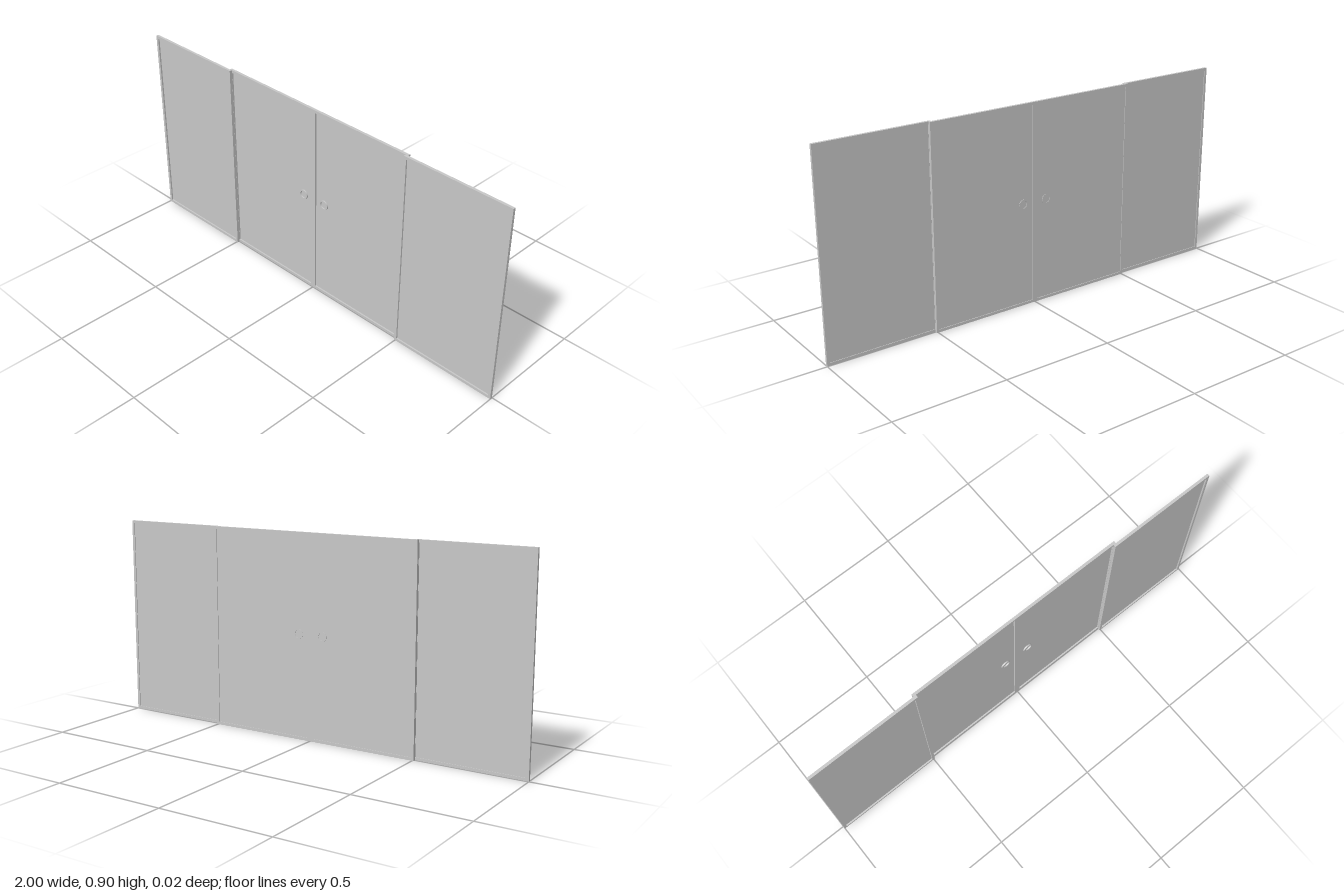
import * as THREE from 'three';

const H = 0.905, W = 0.506, D = 0.012, RAIL = 0.0125;

// Flat plate with a hole, extruded and centred on z = 0
function extrudeCentred(shape, depth) {
  const geo = new THREE.ExtrudeGeometry(shape, { depth, bevelEnabled: false, curveSegments: 24 });
  return geo.translate(0, 0, -depth / 2);
}

function rectangle(path, x0, y0, x1, y1) {
  path.moveTo(x0, y0);
  path.lineTo(x1, y0);
  path.lineTo(x1, y1);
  path.lineTo(x0, y1);
  path.closePath();
  return path;
}

export function createModel() {
  const grey = new THREE.MeshStandardMaterial({ color: 0xc8c8c8 });
  grey.name = 'lightGrey';
  const model = new THREE.Group();
  model.name = 'slidingDoors';

  const add = (parent, name, geo, x = 0, y = 0, z = 0) => {
    const mesh = new THREE.Mesh(geo, grey);
    mesh.name = name;
    mesh.position.set(x, y, z);
    parent.add(mesh);
  };

  // Shared frame, pane and ring pull
  const frameShape = rectangle(new THREE.Shape(), -W / 2, 0, W / 2, H);
  frameShape.holes.push(rectangle(new THREE.Path(), -W / 2 + RAIL, RAIL, W / 2 - RAIL, H - RAIL));
  const frameGeo = extrudeCentred(frameShape, D);
  const paneGeo = new THREE.BoxGeometry(W - 2 * RAIL, H - 2 * RAIL, 0.002);
  const ringShape = new THREE.Shape().absarc(0, 0, 0.022, 0, Math.PI * 2);
  ringShape.holes.push(new THREE.Path().absarc(0, 0, 0.017, 0, Math.PI * 2, true));
  const ringGeo = extrudeCentred(ringShape, 0.01);

  for (const side of [-1, 1]) {
    const label = side > 0 ? 'left' : 'right';
    // Fixed outer panel on the front track, sliding door on the rear track
    for (const sliding of [false, true]) {
      const panel = new THREE.Group();
      panel.name = label + (sliding ? 'SlidingDoor' : 'FixedPanel');
      panel.position.set(side * (sliding ? W / 2 : 1 - W / 2), 0, sliding ? -D / 2 : D / 2);
      add(panel, 'frame', frameGeo);
      // The pane sits deeper from the front than from the back
      add(panel, 'pane', paneGeo, 0, H / 2, -0.002);
      if (sliding) add(panel, 'ringPull', ringGeo, side * (0.06 - W / 2), 0.467);
      model.add(panel);
    }
  }
  return model;
}
